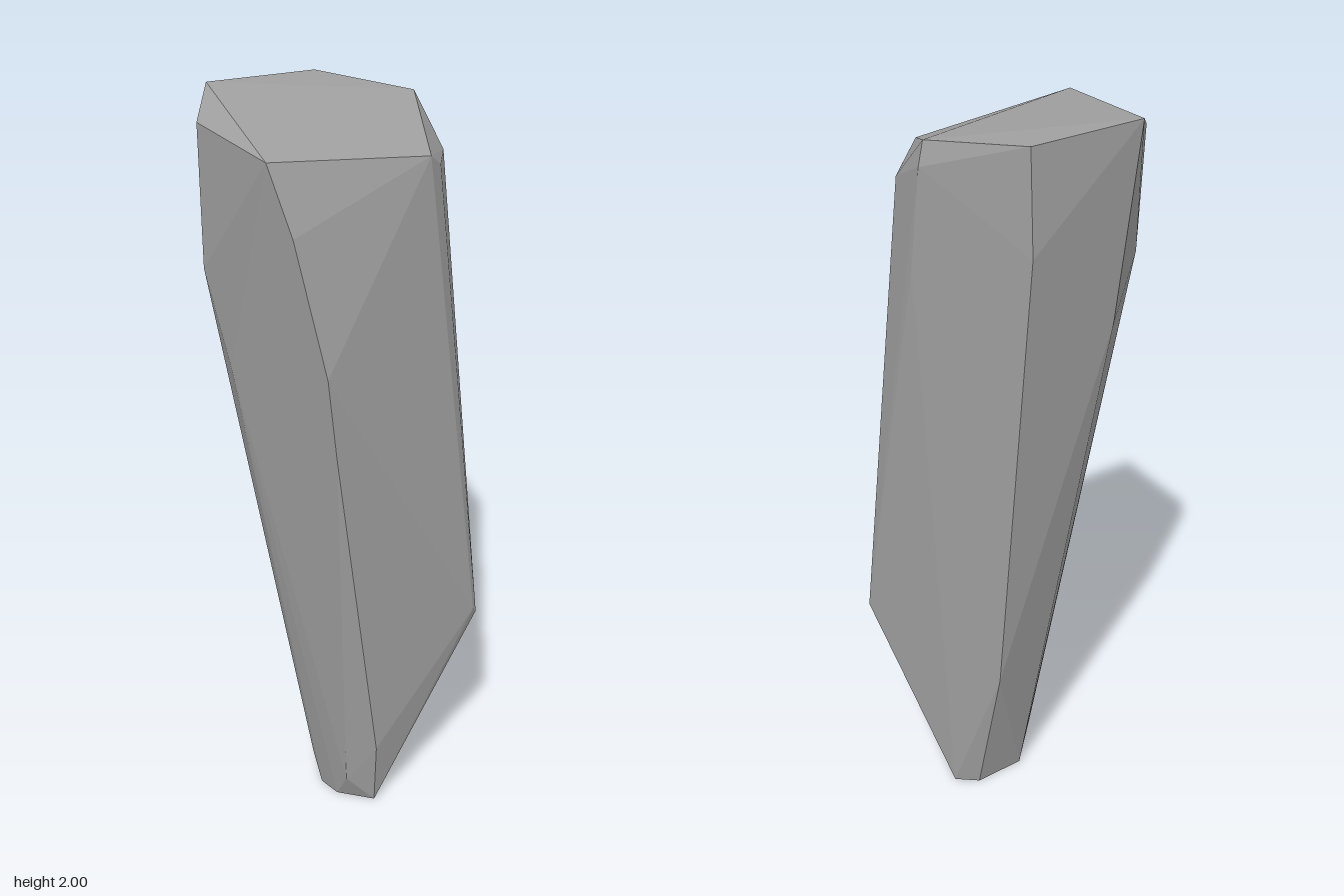
import * as THREE from 'three';
import { ConvexGeometry } from 'three/addons/geometries/ConvexGeometry.js';

// Corner rings of the tapering stone, as [x, y, z]
const crown = [
  [-0.3, 2, 0.145], [-0.265, 1.985, -0.18], [-0.01, 1.965, -0.305],
  [0.24, 1.88, -0.145], [0.18, 1.94, 0.32], [-0.19, 1.94, 0.255],
];
const shoulder = [
  [-0.01, 1.9, -0.32], [0.12, 1.84, -0.295], [0.21, 1.84, -0.205],
  [0.24, 1.76, 0.288], [-0.13, 1.58, 0.288], [-0.262, 1.7, -0.17],
  [0.03, 1.63, -0.32],
];
const body = [
  [0.3, 1.4, 0.23], [0.3, 1.17, 0.2], [-0.03, 1.33, 0.28], [-0.235, 1.45, 0.12],
  [0.3, 0.55, -0.295], [0.29, 0.53, -0.315], [-0.1, 0.4, -0.15],
];
const foot = [
  [0.27, 0.2, 0.03], [-0.02, 0.08, -0.04], [0.05, 0.09, 0.08], [0.2, 0.08, 0.08],
  [0.24, 0, 0.01], [0.15, 0, 0.073], [0.08, 0, 0.073], [0, 0, 0],
  [0, 0, -0.15], [0.05, 0, -0.2],
];

export function createModel() {
  const group = new THREE.Group();
  group.name = 'stonePillar';

  const stone = new THREE.MeshStandardMaterial({ color: 0xa0a0a0 });
  stone.name = 'grey stone';

  // One faceted solid wrapped around all the rings
  const points = [...crown, ...shoulder, ...body, ...foot].map((p) => new THREE.Vector3(...p));
  const shard = new THREE.Mesh(new ConvexGeometry(points), stone);
  shard.name = 'stoneShard';
  group.add(shard);

  return group;
}
